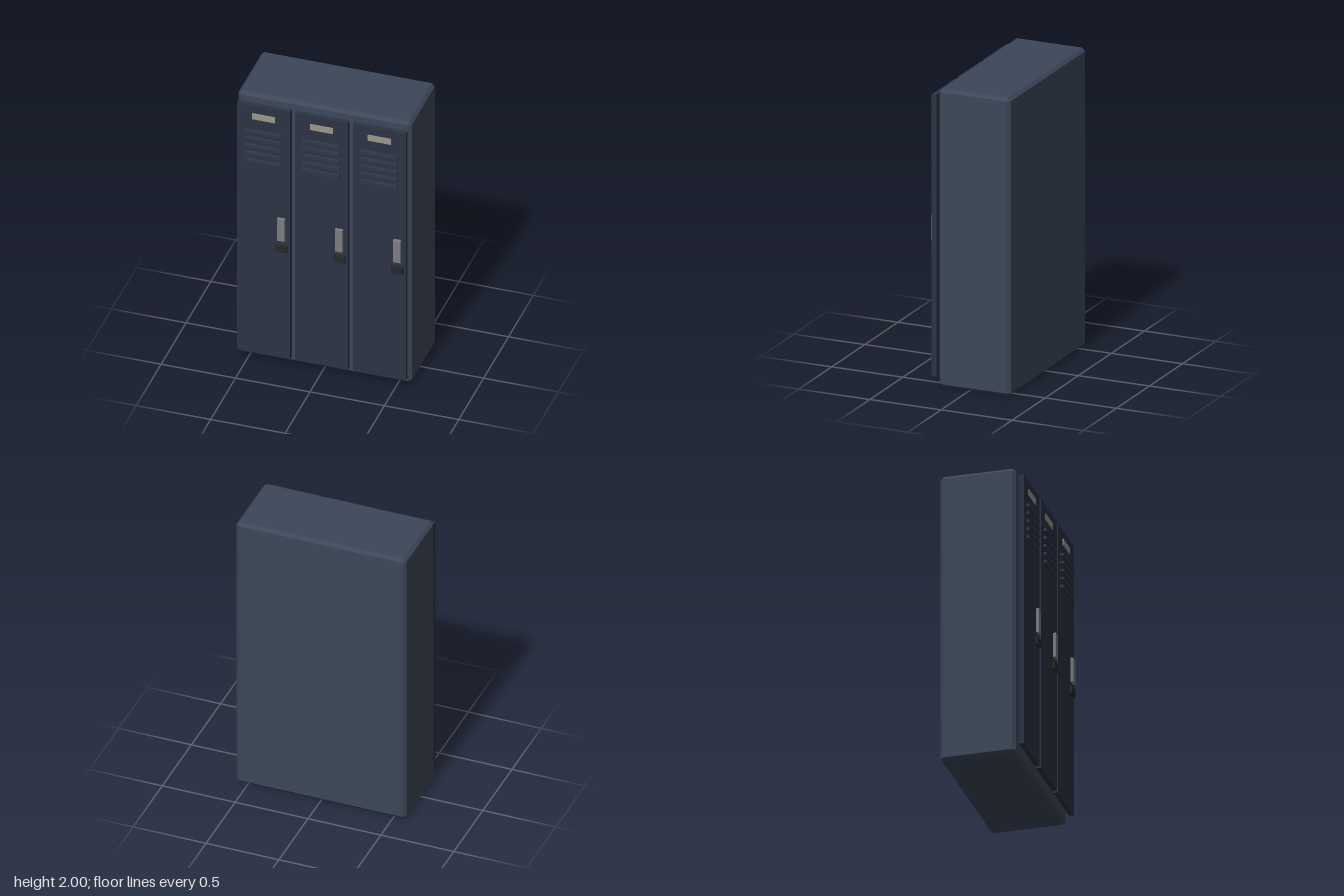
import * as THREE from 'three';
import { ConvexGeometry } from 'three/addons/geometries/ConvexGeometry.js';

const material = (color) => new THREE.MeshStandardMaterial({ color, flatShading: true });

// Box with every edge cut at 45 degrees by c
function chamferBox(w, h, d, c) {
  const points = [];
  for (const sx of [-1, 1]) for (const sy of [-1, 1]) for (const sz of [-1, 1]) {
    const x = w / 2, y = h / 2, z = d / 2;
    points.push(
      new THREE.Vector3(sx * x, sy * (y - c), sz * (z - c)),
      new THREE.Vector3(sx * (x - c), sy * y, sz * (z - c)),
      new THREE.Vector3(sx * (x - c), sy * (y - c), sz * z));
  }
  return new ConvexGeometry(points);
}

export function createModel() {
  const model = new THREE.Group();
  model.name = 'lockers';

  const bodyMat = material(0x3d4759);
  const doorMat = material(0x2d3344);
  const ventMat = material(0x32384a);
  const handleMat = material(0x7b7d80);
  const lockMat = material(0x26282b);
  const labelMat = material(0x9c9788);

  const add = (parent, name, geometry, mat, x, y, z) => {
    const mesh = new THREE.Mesh(geometry, mat);
    mesh.name = name;
    mesh.position.set(x, y, z);
    parent.add(mesh);
  };

  // Cabinet
  add(model, 'cabinet', chamferBox(1.166, 2, 0.5, 0.021), bodyMat, 0, 1, -0.037);

  const doorGeo = new THREE.BoxGeometry(0.356, 1.89, 0.033);
  const ventGeo = new THREE.BoxGeometry(0.245, 0.02, 0.02);
  const labelGeo = new THREE.BoxGeometry(0.155, 0.045, 0.006);
  const handleGeo = chamferBox(0.052, 0.172, 0.02, 0.003);
  const lockGeo = chamferBox(0.078, 0.056, 0.018, 0.003);

  // Three doors standing just ahead of the cabinet, each with its fittings
  for (let i = -1; i <= 1; i++) {
    const unit = new THREE.Group();
    unit.name = 'doorUnit';
    unit.position.x = i * 0.389;
    add(unit, 'door', doorGeo, doorMat, 0, 1.005, 0.2505);
    add(unit, 'labelPlate', labelGeo, labelMat, 0, 1.869, 0.268);
    for (let v = 0; v < 5; v++) {
      add(unit, 'ventSlat', ventGeo, ventMat, 0, 1.758 - v * 0.0557, 0.276);
    }
    add(unit, 'handle', handleGeo, handleMat, 0.121, 1.045, 0.276);
    add(unit, 'lock', lockGeo, lockMat, 0.121, 0.9, 0.273);
    model.add(unit);
  }
  return model;
}
